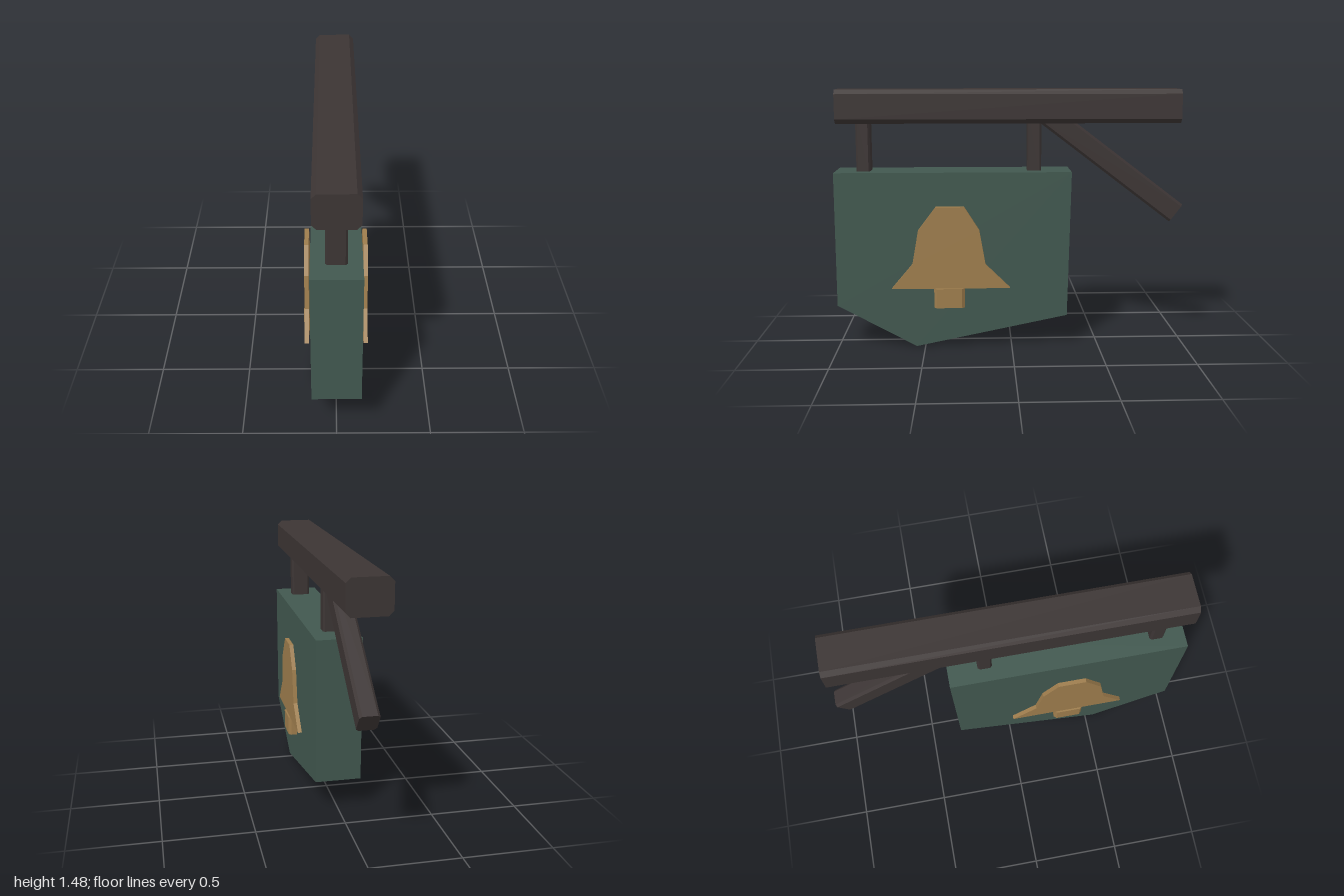
import * as THREE from 'three';

const mat = (name, color) => {
  const m = new THREE.MeshStandardMaterial({ color });
  m.name = name;
  return m;
};

// Flat plate: outline in (z, y), spanning x0..x1
function plate(name, outline, x0, x1, material) {
  const shape = new THREE.Shape(outline.map(([z, y]) => new THREE.Vector2(z, y)));
  const geo = new THREE.ExtrudeGeometry(shape, { depth: x1 - x0, bevelEnabled: false });
  geo.rotateY(-Math.PI / 2).translate(x1, 0, 0);
  const mesh = new THREE.Mesh(geo, material);
  mesh.name = name;
  return mesh;
}

// Bar with chamfered long edges, running between two (y, z) points at x
function bar(name, x, [y0, z0], [y1, z1], width, height, c, material) {
  const w = width / 2, h = height / 2;
  const shape = new THREE.Shape([
    [w - c, -h], [w, c - h], [w, h - c], [w - c, h],
    [c - w, h], [-w, h - c], [-w, c - h], [c - w, -h],
  ].map(([a, b]) => new THREE.Vector2(a, b)));
  const depth = Math.hypot(y1 - y0, z1 - z0);
  const geo = new THREE.ExtrudeGeometry(shape, { depth, bevelEnabled: false });
  const mesh = new THREE.Mesh(geo, material);
  mesh.rotation.x = Math.atan2(y0 - y1, z1 - z0);
  mesh.position.set(x, y0, z0);
  mesh.name = name;
  return mesh;
}

export function createModel() {
  const wood = mat('dark wood', 0x3c3534);
  const green = mat('green paint', 0x41584f);
  const brass = mat('brass', 0x9e7d4d);
  const sign = new THREE.Group();
  sign.name = 'hangingSign';

  // Overhead beam, two hangers and the diagonal brace
  sign.add(bar('beam', 0, [1.38, -0.96], [1.38, 0.985], 0.234, 0.19, 0.025, wood));
  for (const [name, z] of [['frontHanger', 0.84], ['backHanger', -0.132]]) {
    sign.add(bar(name, 0, [1.0, z], [1.32, z], 0.11, 0.08, 0.011, wood));
  }
  sign.add(bar('brace', 0, [0.76, -0.957], [1.36, -0.168], 0.106, 0.125, 0.014, wood));

  // Board with a skewed pointed bottom
  sign.add(plate('board', [
    [1, 1.013], [1, 0.247], [0.55, 0], [-0.32, 0.178], [-0.34, 1.013],
  ], -0.13, 0.13, green));

  // Bell emblem and clapper on each side
  const bell = [
    [0.685, 0.353], [0.565, 0.495], [0.53, 0.69], [0.43, 0.823],
    [0.27, 0.823], [0.185, 0.69], [0.15, 0.49], [0.01, 0.353],
  ];
  for (const [side, s] of [['left', 1], ['right', -1]]) {
    const x = s * 0.159;
    sign.add(plate(side + 'Bell', bell, x - 0.012, x + 0.012, brass));
    sign.add(bar(side + 'Clapper', s * 0.14, [0.24, 0.357], [0.352, 0.357], 0.08, 0.174, 0.015, brass));
  }
  return sign;
}
